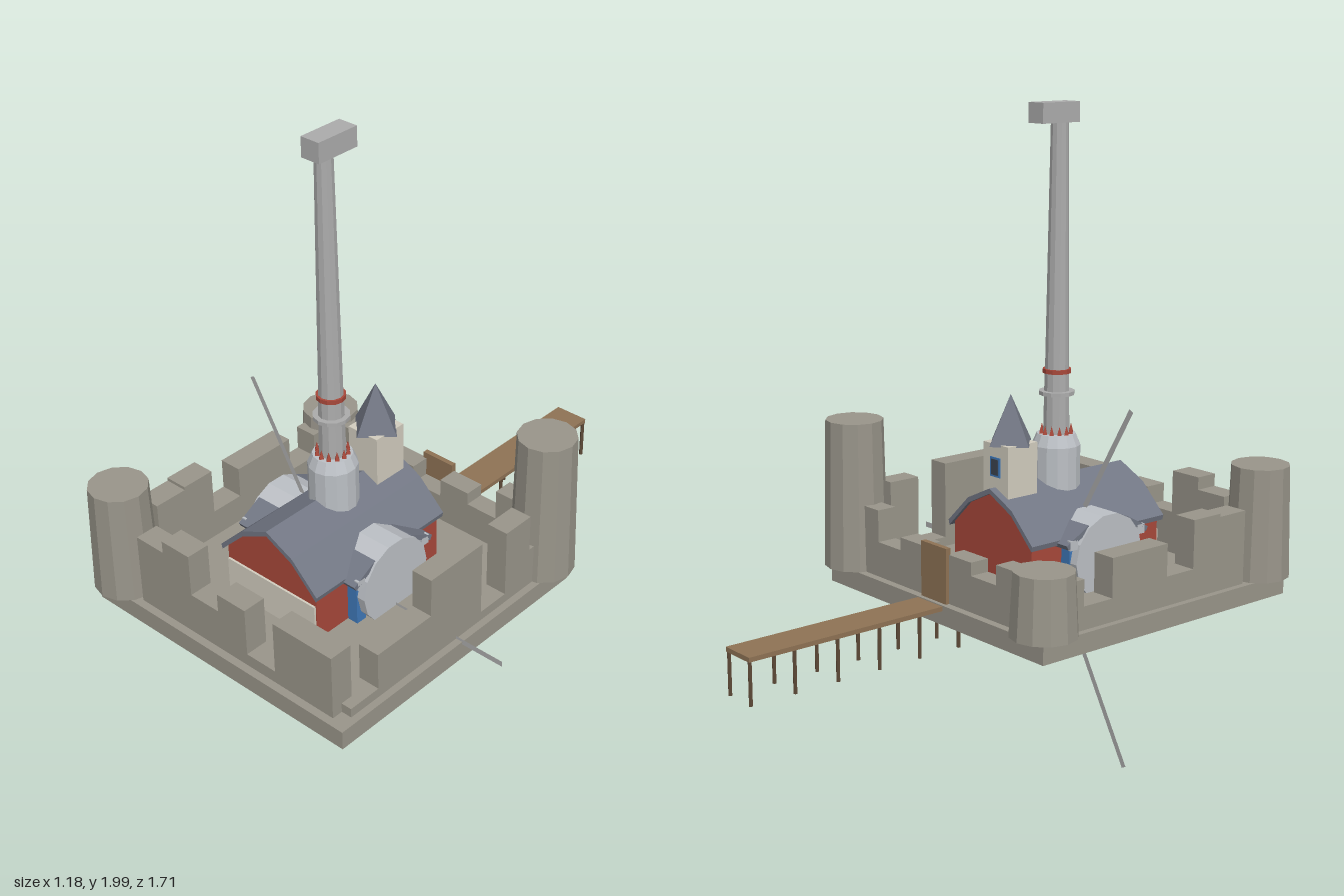
import * as THREE from 'three';

const mat = (color, side = THREE.FrontSide) =>
  new THREE.MeshStandardMaterial({ color, flatShading: true, side });

export function createModel() {
  const model = new THREE.Group();
  const stone = mat(0x99958a), metal = mat(0xacacac), slate = mat(0x727784), red = mat(0xa8483a);
  const cream = mat(0xd2cdbf), blue = mat(0x3f78b8), wood = mat(0x8f7355), darkWood = mat(0x5e4a38);
  const pale = mat(0xbcc0c5), dark = mat(0x3c4450);
  const CX = -0.053, CZ = 0.31, FLOOR = 0.57;

  const add = (name, geo, material, x = 0, y = 0, z = 0, parent = model) => {
    const m = new THREE.Mesh(geo, material);
    m.name = name;
    m.position.set(x, y, z);
    parent.add(m);
    return m;
  };
  // Box given by its extents
  const box = (name, material, x0, x1, y0, y1, z0, z1, parent) =>
    add(name, new THREE.BoxGeometry(x1 - x0, y1 - y0, z1 - z0), material,
      (x0 + x1) / 2, (y0 + y1) / 2, (z0 + z1) / 2, parent);
  // Upright cylinder given by its ends
  const column = (name, material, rTop, rBottom, y0, y1, x, z, sides = 12) =>
    add(name, new THREE.CylinderGeometry(rTop, rBottom, y1 - y0, sides), material, x, (y0 + y1) / 2, z);

  box('baseSlab', stone, -0.55, 0.443, 0.51, FLOOR, -0.185, 0.81);

  // Corner towers, one corner left open
  for (const [x, z, top] of [[-0.49, -0.13, 0.76], [0.386, -0.13, 1.035], [-0.49, 0.752, 0.92]])
    column('cornerTower', stone, 0.09, 0.1, FLOOR, top, x, z);

  // Ruined curtain walls: one block per height
  const STEP = 0.11;
  const wall = (name, heights, place) => {
    const g = new THREE.Group();
    g.name = name;
    heights.forEach((h, i) => {
      const [x0, x1, z0, z1] = place(i * STEP, (i + 1) * STEP);
      box('wallBlock', stone, x0, x1, FLOOR - 0.01, h, z0, z1, g);
    });
    model.add(g);
  };
  wall('frontWall', [0.8, 0.84, 0.705, 0.765, 0.61, 0.78, 0.78],
    (a, b) => [-0.385 + a, -0.385 + b, 0.71, 0.785]);
  wall('backWall', [0.74, 0.68, 0.72, 0.66, 0.72, 0.68, 0.78],
    (a, b) => [-0.43 + a, -0.43 + b, -0.16, -0.095]);
  wall('leftWall', [0.6, 0.72, 0.72, 0.845, 0.845, 0.6, 0.82, 0.7],
    (a, b) => [0.35, 0.42, 0.75 - b, 0.75 - a]);
  wall('rightWall', [0.72, 0.64, 0.76, 0.76, 0.66, 0.81, 0.8],
    (a, b) => [-0.53, -0.455, -0.125 + a, -0.125 + b]);

  // Gate and walkway on posts
  box('gate', wood, CX - 0.058, CX + 0.058, FLOOR, 0.74, -0.172, -0.155);
  box('walkway', wood, -0.11, 0.005, 0.553, 0.567, -0.855, -0.16);
  for (let i = 0; i < 9; i++)
    for (const x of [-0.104, -0.001])
      column('walkwayPost', darkWood, 0.006, 0.006, 0.425, 0.557, x, -0.849 + i * 0.146, 6);

  // Hall: red gabled body under a curved-in roof
  const slope = [[0.193, 0.735], [0.1, 0.825], [0, 0.873]];
  const bodyShape = new THREE.Shape();
  bodyShape.moveTo(-0.178, FLOOR);
  [[0.178, FLOOR], [0.178, 0.735], [0.1, 0.81], [0, 0.858], [-0.1, 0.81], [-0.178, 0.735]]
    .forEach(([x, y]) => bodyShape.lineTo(x, y));
  add('hallBody', new THREE.ExtrudeGeometry(bodyShape, { depth: 0.52, bevelEnabled: false }), red, CX, 0, 0.055);
  const upper = [...slope, ...slope.slice(0, 2).reverse().map(([x, y]) => [-x, y])];
  const lower = upper.map(([x, y]) => [x * 0.98, y - 0.016]).reverse();
  const roofShape = new THREE.Shape([...upper, ...lower].map(([x, y]) => new THREE.Vector2(x, y)));
  add('hallRoof', new THREE.ExtrudeGeometry(roofShape, { depth: 0.545, bevelEnabled: false }), slate, CX, 0, 0.043);
  box('hallFrontPlinth', cream, CX - 0.175, CX + 0.175, FLOOR, 0.688, 0.57, 0.582);

  // Round drum crossing the hall, with canopied blue posts either side
  const drum = add('crossDrum', new THREE.CylinderGeometry(0.135, 0.135, 0.484, 14), pale, CX, 0.665, CZ);
  drum.rotation.set(0, 0, Math.PI / 2);
  for (const s of [-1, 1])
    for (const t of [-1, 1]) {
      const z = CZ + t * 0.12;
      box('sidePost', blue, CX + s * 0.197 - 0.018, CX + s * 0.197 + 0.018, FLOOR, 0.735, z - 0.018, z + 0.018);
      const canopy = add('sideCanopy', new THREE.BoxGeometry(0.1, 0.016, 0.1), slate, CX + s * 0.185, 0.745, z);
      canopy.rotation.x = t * 0.5;
      add('canopyEnd', new THREE.BoxGeometry(0.014, 0.03, 0.03), pale, CX + s * 0.228, 0.725, CZ + t * 0.138);
    }

  // Small lookout with a pointed roof
  const LZ = 0.125;
  box('lookout', cream, CX - 0.056, CX + 0.056, 0.8, 1.005, LZ - 0.058, LZ + 0.058);
  add('lookoutRoof', new THREE.ConeGeometry(0.083, 0.15, 4), slate, CX, 1.075, LZ);
  box('lookoutWindowFrame', blue, CX - 0.022, CX + 0.022, 0.905, 0.965, LZ - 0.061, LZ - 0.056);
  box('lookoutWindow', dark, CX - 0.015, CX + 0.015, 0.911, 0.959, LZ - 0.063, LZ - 0.06);

  // Chimney
  const profile = [[0.075, 0.78], [0.075, 0.97], [0.06, 1.005], [0, 1.005]].map(p => new THREE.Vector2(...p));
  add('chimneyFoot', new THREE.LatheGeometry(profile, 14), pale, CX, 0, CZ);
  column('chimneyNeck', metal, 0.038, 0.041, 1.0, 1.2, CX, CZ);
  column('chimneyShaft', metal, 0.027, 0.037, 1.2, 1.95, CX, CZ);
  column('chimneyLowerRing', metal, 0.055, 0.055, 1.125, 1.137, CX, CZ);
  column('chimneyRedRing', red, 0.044, 0.044, 1.192, 1.205, CX, CZ);
  for (let i = 0; i < 12; i++) {
    const a = i * Math.PI / 6;
    add('chimneyTooth', new THREE.ConeGeometry(0.01, 0.03, 4), red,
      CX + 0.046 * Math.sin(a), 1.018, CZ + 0.046 * Math.cos(a));
  }
  box('chimneyHead', metal, CX - 0.032, CX + 0.032, 1.94, 2.0, 0.215, 0.36);

  // Three thin rotor blades
  const flat = mat(0xacacac, THREE.DoubleSide);
  for (let i = 0; i < 3; i++) {
    const geo = new THREE.PlaneGeometry(0.643, 0.018);
    geo.translate(0.3215, 0, 0);
    add('rotorBlade', geo, flat, CX, FLOOR, CZ).rotation.z = i * Math.PI * 2 / 3;
  }
  return model;
}
